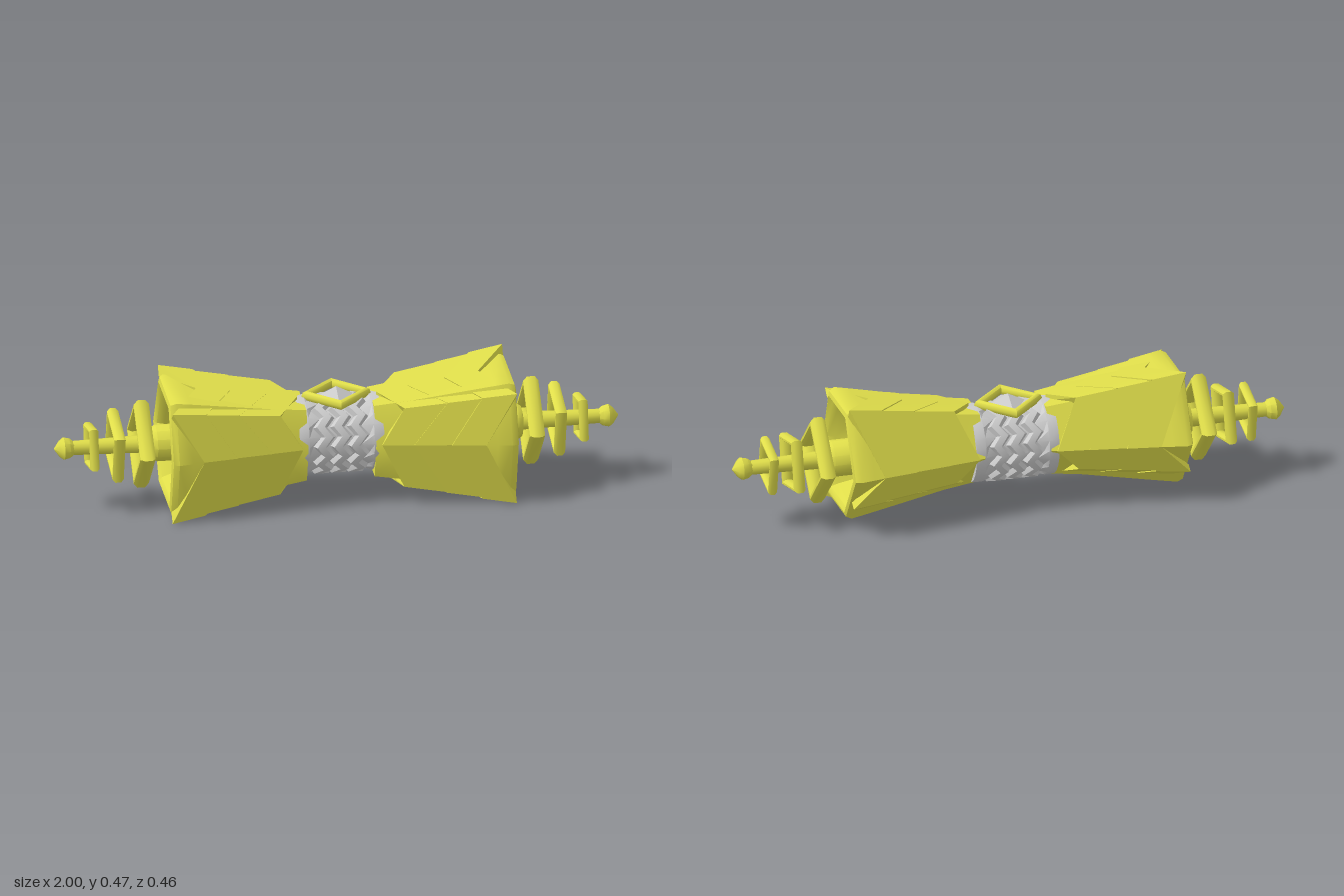
import * as THREE from 'three';
import { toCreasedNormals } from 'three/addons/utils/BufferGeometryUtils.js';

const gold = new THREE.MeshStandardMaterial({ color: 0xdfdd4a });
const grey = new THREE.MeshStandardMaterial({ color: 0xcccccc });
const AXIS_Y = 0.23;

// Skin over closed cross-sections; each row is a loop of [x, y, z] running from +z towards +y
function skin(rows, crease, flip = 1) {
  const n = rows[0].length, index = [];
  for (let i = 0; i < rows.length - 1; i++) {
    for (let j = 0; j < n; j++) {
      const k = (j + 1) % n;
      const a = i * n + j, b = a + n, c = (i + 1) * n + k, d = i * n + k;
      if (flip > 0) index.push(a, b, c, a, c, d);
      else index.push(a, c, b, a, d, c);
    }
  }
  const pos = rows.flat().flatMap(([x, y, z]) => [x * flip, y, z]);
  const geo = new THREE.BufferGeometry();
  geo.setAttribute('position', new THREE.Float32BufferAttribute(pos, 3));
  geo.setIndex(index);
  return toCreasedNormals(geo, crease);
}

// Regular n-sided loop around the x axis
const ngon = (x, r, n, turn = 0) => Array.from({ length: n }, (_, j) => {
  const a = turn + (j / n) * Math.PI * 2;
  return [x, r * Math.sin(a), r * Math.cos(a)];
});

function add(group, name, geo, mat) {
  const mesh = new THREE.Mesh(geo, mat);
  mesh.name = name;
  group.add(mesh);
  return mesh;
}

// Uneven six-cornered sleeve section, [z, y]
const HEX = [[0.23, 0], [0.15, 0.205], [-0.105, 0.22], [-0.23, 0], [-0.09, -0.2], [0.17, -0.215]];
// Plate section: sides and corners alternate, [z, y]
const PLATE = [[0.225, 0], [0.195, 0.18], [0.02, 0.22], [-0.13, 0.238],
  [-0.225, 0], [-0.19, -0.115], [-0.01, -0.215], [0.19, -0.23]];
const taper = (x) => 0.6 + 0.67 * x;

// Overlapping chevron tiers: start/end at the sides, start/end at the corners, lift
const TIERS = [
  [0.14, 0.30, 0.22, 0.40, 0.97],
  [0.25, 0.43, 0.37, 0.54, 0.98],
  [0.38, 0.50, 0.49, 0.61, 1.0],
];

function tierRows([s0, s1, c0, c1, lift]) {
  const row = (end, k) => PLATE.map(([z, y], j) => {
    const corner = j % 2 === 1;
    const x = end ? (corner ? c1 : s1) : (corner ? c0 : s0);
    const s = taper(x) * lift * k;
    return [x, y * s, z * s];
  });
  return [row(0, 0.84), row(0, 1), row(1, 1), row(1, 0.86), row(0, 0.84)];
}

function arm(side) {
  const g = new THREE.Group();
  g.name = side > 0 ? 'leftArm' : 'rightArm';

  // Flared sleeve with a rounded rim and a recessed end
  const body = [[0.12, 0.3], [0.12, 0.62], [0.25, 0.7], [0.4, 0.83], [0.54, 0.95], [0.59, 0.99],
    [0.61, 0.95], [0.615, 0.88], [0.605, 0.8], [0.58, 0.74], [0.5, 0.62], [0.49, 0.05]];
  add(g, 'sleeve', skin(body.map(([x, s]) => HEX.map(([z, y]) => [x, y * s, z * s])), 0.7, side), gold);

  // Chevron plates
  TIERS.forEach((t, i) => add(g, `chevronPlates${i + 1}`, skin(tierRows(t), 0.15, side), gold));

  // Stepped spindle
  const rod = [[0.48, 0.065], [0.64, 0.065], [0.655, 0.055], [0.66, 0.032], [0.94, 0.025]];
  add(g, 'spindle', skin(rod.map(([x, r]) => ngon(x, r, 12)), 0.7, side), gold);

  // Square rings, each turned and smaller than the last
  const rings = [[0.69, 0.165, 0.12, 0.027, Math.PI / 2],
    [0.782, 0.132, 0.1, 0.02, Math.PI / 6], [0.867, 0.105, 0.08, 0.016, 0.98]];
  rings.forEach(([x, R, r, h, turn], i) => {
    const m = (R - r) * 0.35;
    const loop = [[-h, r + m], [-h, R - m], [-h * 0.5, R], [h * 0.5, R], [h, R - m],
      [h, r + m], [h * 0.5, r], [-h * 0.5, r], [-h, r + m]];
    add(g, `squareRing${i + 1}`, skin(loop.map(([d, q]) => ngon(x + d, q, 4, turn)), 0.7, side), gold);
  });

  // Pointed bead on the tip
  const bead = [[0.925, 0.02], [0.945, 0.037], [0.965, 0.042], [0.98, 0.03], [1, 0.001]];
  add(g, 'tipBead', skin(bead.map(([x, r]) => ngon(x, r, 8)), 0.8, side), gold);
  return g;
}

export function createModel() {
  const model = new THREE.Group();
  const parts = new THREE.Group();
  parts.position.y = AXIS_Y;
  model.add(parts);
  parts.add(arm(1), arm(-1));

  // Grip with zigzag ridges
  const rows = [ngon(-0.15, 0.1, 24), ngon(-0.15, 0.138, 24), ngon(-0.115, 0.14, 24)];
  for (const c of [-0.06, 0, 0.06]) {
    for (const [d, r] of [[-0.026, 0.126], [-0.014, 0.143], [0.014, 0.143], [0.026, 0.126]]) {
      rows.push(ngon(c + d, r, 24).map(([x, y, z], j) => [x + (j % 2 ? 0.014 : -0.014), y, z]));
    }
  }
  rows.push(ngon(0.115, 0.14, 24), ngon(0.15, 0.138, 24), ngon(0.15, 0.1, 24));
  add(parts, 'grip', skin(rows, 0.5), grey);

  // Diamond frame and faceted gem on top of the grip
  const frame = new THREE.TorusGeometry(0.105, 0.018, 8, 4).rotateX(Math.PI / 2);
  add(parts, 'gemFrame', toCreasedNormals(frame, 0.9), gold).position.y = 0.143;
  const gem = new THREE.ConeGeometry(0.1, 0.05, 4);
  add(parts, 'gem', toCreasedNormals(gem, 0.1), grey).position.y = 0.148;
  return model;
}
